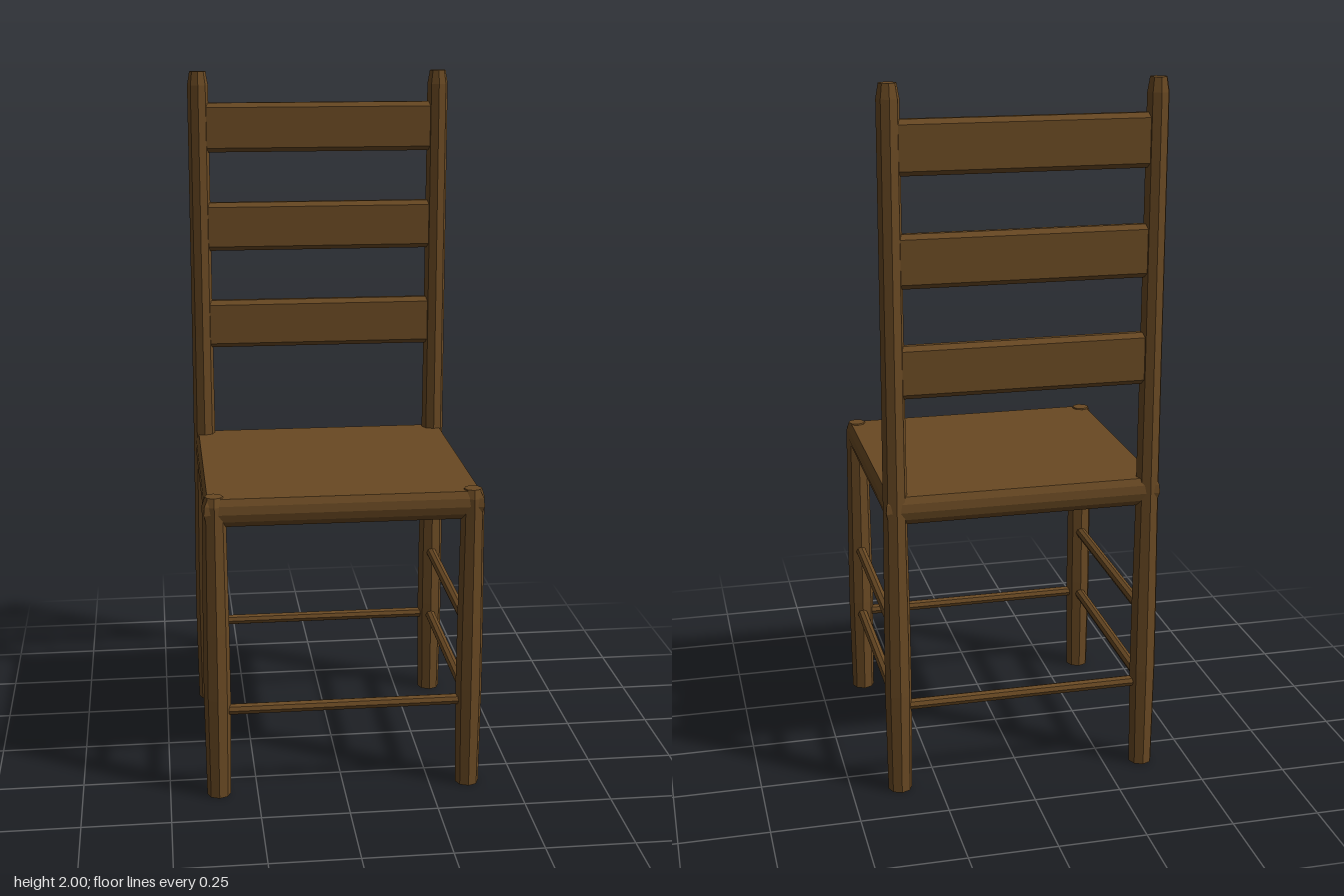
import * as THREE from 'three';

const wood = new THREE.MeshStandardMaterial({ color: 0x694923 });
const POST_X = 0.361, POST_Z = 0.341;

// Faceted mesh: each face keeps its own normal
function facet(name, geometry) {
  const g = geometry.toNonIndexed();
  g.computeVertexNormals();
  const mesh = new THREE.Mesh(g, wood);
  mesh.name = name;
  return mesh;
}

// Eight-sided turned post from [radius, height] pairs
function post(name, profile, x, z) {
  const points = profile.map(([r, y]) => new THREE.Vector2(r, y));
  const mesh = facet(name, new THREE.LatheGeometry(points, 8));
  mesh.position.set(x, 0, z);
  return mesh;
}

// Box whose rows follow [halfWidth, halfDepth, y] rings
function ringBox(name, rings) {
  const n = rings.length - 1;
  const g = new THREE.BoxGeometry(2, n, 2, 1, n, 1);
  const p = g.attributes.position;
  for (let i = 0; i < p.count; i++) {
    const [w, d, y] = rings[Math.round(p.getY(i) + n / 2)];
    p.setXYZ(i, Math.sign(p.getX(i)) * w, y, Math.sign(p.getZ(i)) * d);
  }
  return facet(name, g);
}

// Thin round stretcher between two points
function rung(name, a, b) {
  const from = new THREE.Vector3(...a), to = new THREE.Vector3(...b);
  const dir = to.clone().sub(from);
  const mesh = facet(name, new THREE.CylinderGeometry(0.016, 0.016, dir.length(), 8));
  mesh.position.copy(from).add(to).multiplyScalar(0.5);
  mesh.quaternion.setFromUnitVectors(new THREE.Vector3(0, 1, 0), dir.normalize());
  return mesh;
}

export function createModel() {
  const chair = new THREE.Group();
  chair.name = 'ladderBackChair';

  // Legs: a slight swell low down, chamfered tips
  const lower = [[0, 0], [0.034, 0], [0.038, 0.3], [0.037, 0.5], [0.034, 0.75]];
  const front = [...lower, [0.033, 0.87], [0.025, 0.895], [0, 0.895]];
  const back = [...lower, [0.032, 1.2], [0.031, 1.96], [0.024, 2], [0, 2]];
  for (const [side, s] of [['left', 1], ['right', -1]]) {
    chair.add(post(side + 'FrontLeg', front, s * POST_X, POST_Z));
    chair.add(post(side + 'BackPost', back, s * POST_X, -POST_Z));
    // Two side stretchers
    for (const y of [0.26, 0.475])
      chair.add(rung(side + 'Stretcher', [s * POST_X, y, -POST_Z], [s * POST_X, y, POST_Z]));
  }

  // Front and back stretchers
  for (const [name, z] of [['frontStretcher', POST_Z], ['backStretcher', -POST_Z]])
    chair.add(rung(name, [-POST_X, 0.26, z], [POST_X, 0.26, z]));

  // Seat with rounded rim
  chair.add(ringBox('seat', [
    [0.335, 0.315, 0.8], [0.365, 0.345, 0.807], [0.384, 0.364, 0.826],
    [0.39, 0.37, 0.848], [0.388, 0.368, 0.872], [0.379, 0.359, 0.891],
  ]));

  // Back slats with bevelled edges
  for (const y of [1.238, 1.538, 1.835]) {
    const slat = ringBox('backSlat', [
      [POST_X, 0.008, -0.073], [POST_X, 0.019, -0.06],
      [POST_X, 0.019, 0.06], [POST_X, 0.008, 0.073],
    ]);
    slat.position.set(0, y, -POST_Z);
    chair.add(slat);
  }
  return chair;
}
